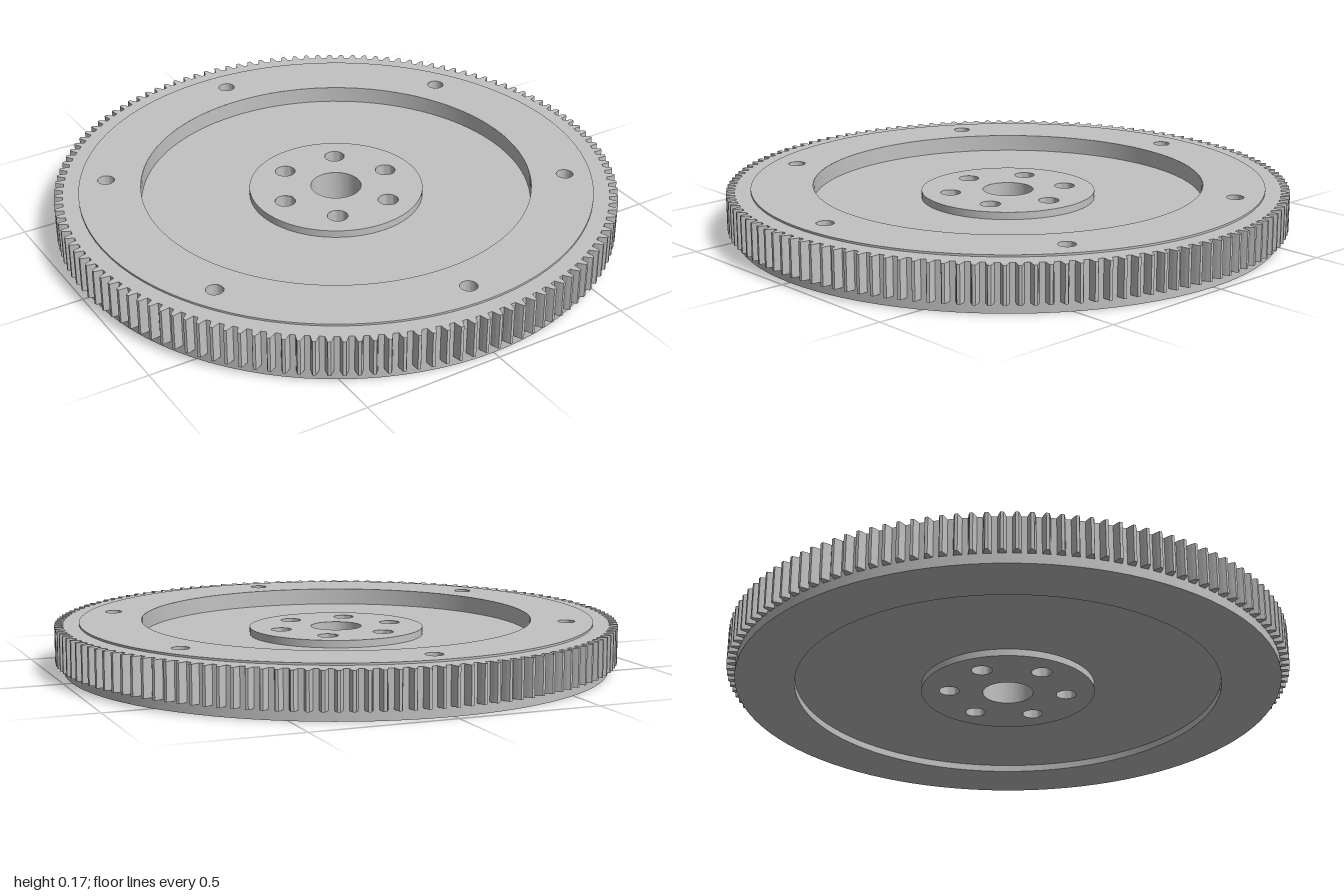
import * as THREE from 'three';
import { mergeGeometries, toCreasedNormals } from 'three/addons/utils/BufferGeometryUtils.js';

const SEG = 96;
const TOP = 0.172, RING_TOP = 0.165, HUB_TOP = 0.138, FLOOR = 0.112, UNDER = 0.025;
const HUB_R = 0.31, BORE_R = 0.09, RECESS_R = 0.695, STEP_R = 0.914, ROOT_R = 0.97;

// Six centres on a circle, starting at the given angle
const sixAround = (radius, start) => Array.from({ length: 6 }, (_, i) => {
  const a = start + i * Math.PI / 3;
  return [radius * Math.cos(a), radius * Math.sin(a)];
});

// Surface of revolution with sharp edges; the solid lies left of the profile
function revolve(profile, seg = SEG) {
  const g = new THREE.LatheGeometry(profile.map(([r, y]) => new THREE.Vector2(r, y)), seg);
  return toCreasedNormals(g, 0.6);
}

// Flat annulus with drilled holes, facing up or down
function holedFace(outer, inner, centres, holeR, y, up) {
  const shape = new THREE.Shape().absarc(0, 0, outer, 0, Math.PI * 2);
  for (const [x, z, r] of [[0, 0, inner], ...centres.map(c => [...c, holeR])])
    shape.holes.push(new THREE.Path().absarc(x, z, r, 0, Math.PI * 2, true));
  return new THREE.ShapeGeometry(shape, SEG).rotateX(up ? -Math.PI / 2 : Math.PI / 2).translate(0, y, 0);
}

export function createModel() {
  const model = new THREE.Group();
  const steel = new THREE.MeshStandardMaterial({ color: 0xc2c2c2 });
  steel.name = 'steel';
  const add = (name, geometry) => {
    const mesh = new THREE.Mesh(geometry, steel);
    mesh.name = name;
    model.add(mesh);
  };

  const boltCentres = sixAround(0.21, 0);
  const pinCentres = sixAround(0.82, Math.PI / 6);

  // Underside recess, outer rim and the shallow step on top
  add('rim', revolve([
    [HUB_R, 0], [HUB_R, UNDER], [0.76, UNDER], [0.76, 0],
    [ROOT_R, 0], [ROOT_R, RING_TOP], [STEP_R, RING_TOP], [STEP_R, TOP],
  ]));
  add('clutchFace', holedFace(STEP_R, RECESS_R, pinCentres, 0.03, TOP, true));

  // Upper recess and raised hub
  add('recess', revolve([[RECESS_R, TOP], [RECESS_R, FLOOR], [HUB_R, FLOOR], [HUB_R, HUB_TOP]]));
  add('hubTop', holedFace(HUB_R, BORE_R, boltCentres, 0.036, HUB_TOP, true));
  add('hubUnderside', holedFace(HUB_R, BORE_R, boltCentres, 0.036, 0, false));
  add('bore', revolve([[BORE_R, HUB_TOP], [BORE_R, 0]]));

  // Through bolt holes and blind pin holes
  for (const [x, z] of boltCentres)
    add('boltHole', revolve([[0.036, HUB_TOP], [0.036, 0]], 32).translate(x, 0, z));
  for (const [x, z] of pinCentres)
    add('pinHole', revolve([[0.03, TOP], [0.03, 0.07], [0, 0.07]], 32).translate(x, 0, z));

  // Ring gear teeth
  const tooth = new THREE.Shape([
    [0.962, -0.015], [0.972, -0.0135], [0.988, -0.0095], [1, -0.005],
    [1, 0.005], [0.988, 0.0095], [0.972, 0.0135], [0.962, 0.015],
  ].map(([x, y]) => new THREE.Vector2(x, y)));
  const toothGeo = new THREE.ExtrudeGeometry(tooth, { depth: RING_TOP - 0.035, bevelEnabled: false })
    .rotateX(-Math.PI / 2).translate(0, 0.035, 0);
  const COUNT = 132;
  const teeth = Array.from({ length: COUNT }, (_, i) => toothGeo.clone().rotateY(i * Math.PI * 2 / COUNT));
  add('ringGearTeeth', mergeGeometries(teeth));

  return model;
}
